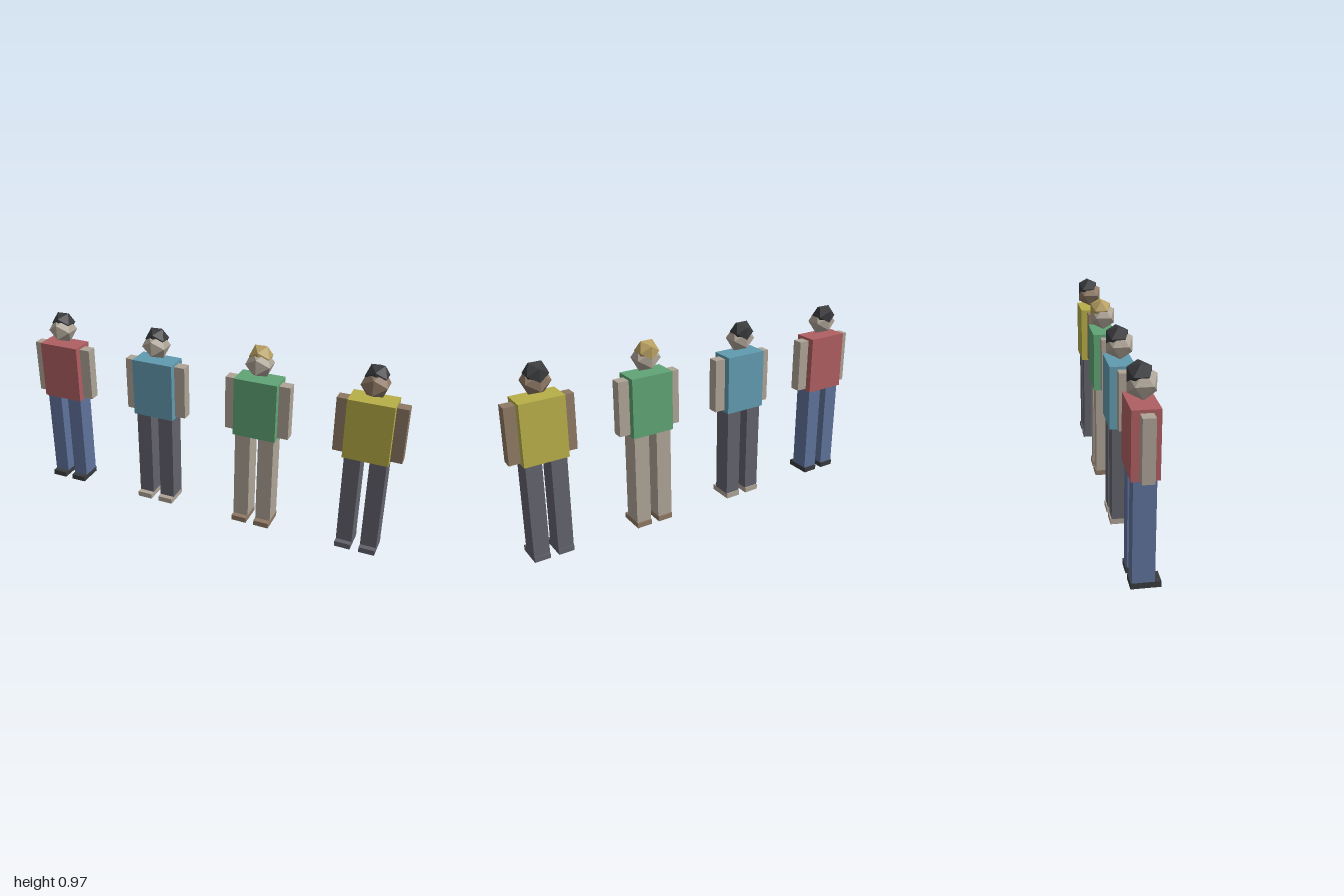
import * as THREE from 'three';

const mat = (name, color) => {
  const m = new THREE.MeshStandardMaterial({ color, flatShading: true });
  m.name = name;
  return m;
};

export function createModel() {
  const red = mat('red', 0xb05f62), blue = mat('blue', 0x619bb0);
  const green = mat('green', 0x60a575), yellow = mat('yellow', 0xb8ae48);
  const pale = mat('pale', 0xaea497), brown = mat('brown', 0x8f7965);
  const denim = mat('denim', 0x60739c), grey = mat('grey', 0x62626c);
  const black = mat('black', 0x3a3b3d), blond = mat('blond', 0xb8a062);

  const add = (parent, name, geometry, material, x, y, z) => {
    const mesh = new THREE.Mesh(geometry, material);
    mesh.name = name;
    mesh.position.set(x, y, z);
    parent.add(mesh);
  };

  // Shared part shapes
  const torso = new THREE.BoxGeometry(0.22, 0.304, 0.122);
  const arm = new THREE.BoxGeometry(0.0565, 0.278, 0.055);
  const leg = new THREE.BoxGeometry(0.08, 0.475, 0.099);
  const shoe = new THREE.BoxGeometry(0.08, 0.028, 0.133);
  const head = new THREE.IcosahedronGeometry(0.0725, 0);
  const hair = new THREE.IcosahedronGeometry(0.06, 0);

  // One row per person, from the model's right to its left
  const people = [
    { shirt: red, trousers: denim, shoes: black, skin: pale, hair: black },
    { shirt: blue, trousers: grey, shoes: pale, skin: pale, hair: black },
    { shirt: green, trousers: pale, shoes: brown, skin: pale, hair: blond },
    { shirt: yellow, trousers: grey, shoes: grey, skin: brown, hair: black },
  ];

  const group = new THREE.Group();
  group.name = 'people';
  people.forEach((p, i) => {
    const person = new THREE.Group();
    person.name = 'person' + (i + 1);
    person.position.x = (i - 1.5) * 0.5557;
    add(person, 'torso', torso, p.shirt, 0, 0.655, -0.006);
    add(person, 'head', head, p.skin, 0, 0.881, -0.006);
    add(person, 'hair', hair, p.hair, 0, 0.917, -0.017);
    for (const [side, s] of [['right', -1], ['left', 1]]) {
      add(person, side + 'Arm', arm, p.skin, s * 0.13825, 0.654, -0.0055);
      add(person, side + 'Leg', leg, p.trousers, s * 0.0615, 0.2655, -0.0065);
      add(person, side + 'Shoe', shoe, p.shoes, s * 0.0615, 0.014, 0.0045);
    }
    group.add(person);
  });
  return group;
}
